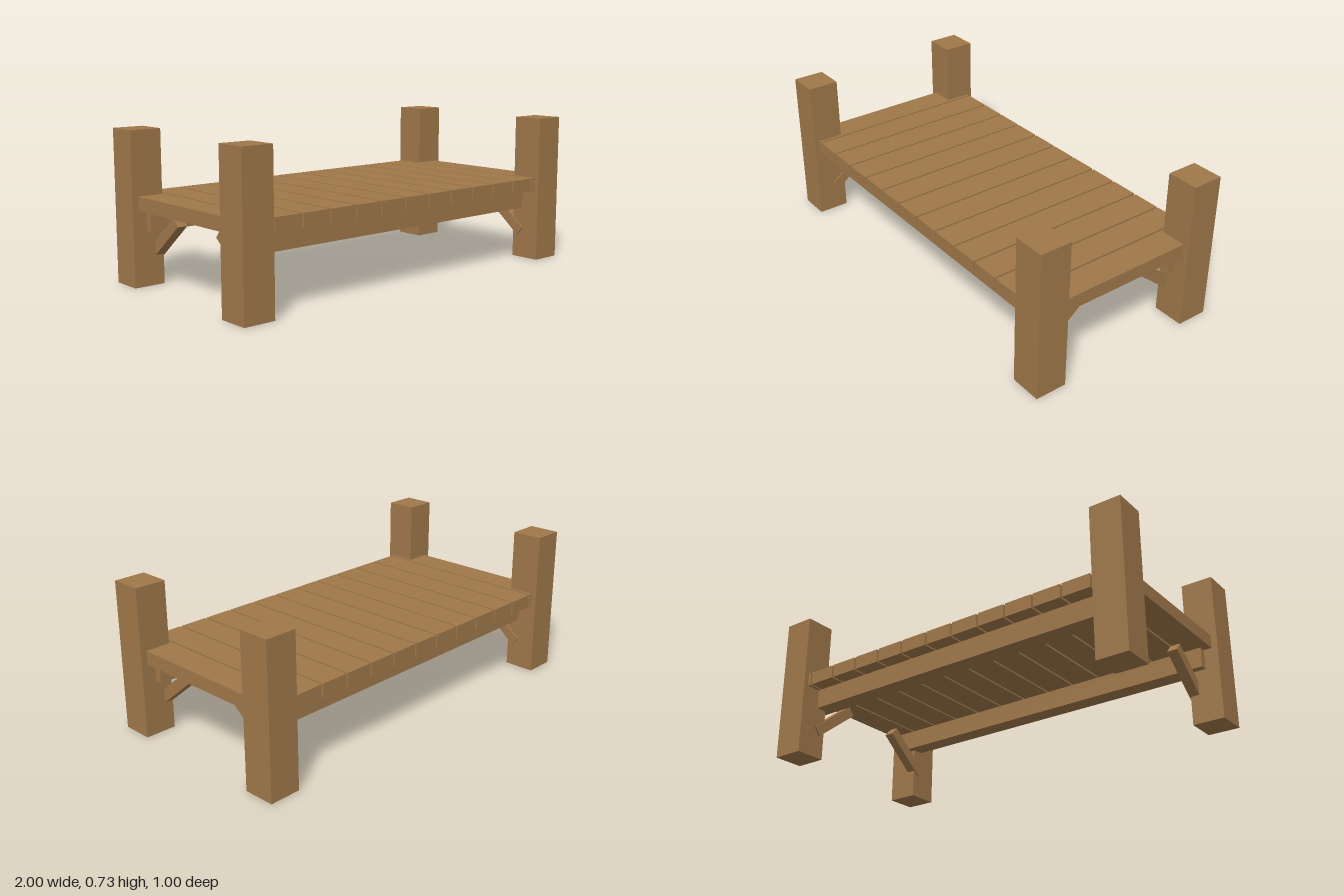
import * as THREE from 'three';

export function createModel() {
  const model = new THREE.Group();
  model.name = 'plankPlatform';
  const wood = new THREE.MeshStandardMaterial({ color: 0xa0784a });
  wood.name = 'wood';

  const addBox = (name, [w, h, d], [x, y, z]) => {
    const mesh = new THREE.Mesh(new THREE.BoxGeometry(w, h, d), wood);
    mesh.name = name;
    mesh.position.set(x, y, z);
    model.add(mesh);
    return mesh;
  };

  // deck planks with narrow gaps
  const count = 13, pitch = 0.15;
  for (let i = 0; i < count; i++) {
    const x = (i - (count - 1) / 2) * pitch;
    addBox('plank', [0.14, 0.066, 0.948], [x, 0.39, 0]);
  }

  for (const sz of [-1, 1]) {
    // long rail under the deck
    addBox('rail', [1.86, 0.097, 0.09], [0, 0.3085, sz * 0.355]);

    for (const sx of [-1, 1]) {
      // corner post
      addBox('post', [0.155, 0.727, 0.155], [sx * 0.9225, 0.3635, sz * 0.4225]);

      // slanted brace rising from the post towards the middle
      const brace = addBox('brace', [0.05, 0.053, 0.29], [sx * 0.863, 0.2275, sz * 0.28]);
      brace.rotation.x = sz * 0.683;
    }
  }
  return model;
}
